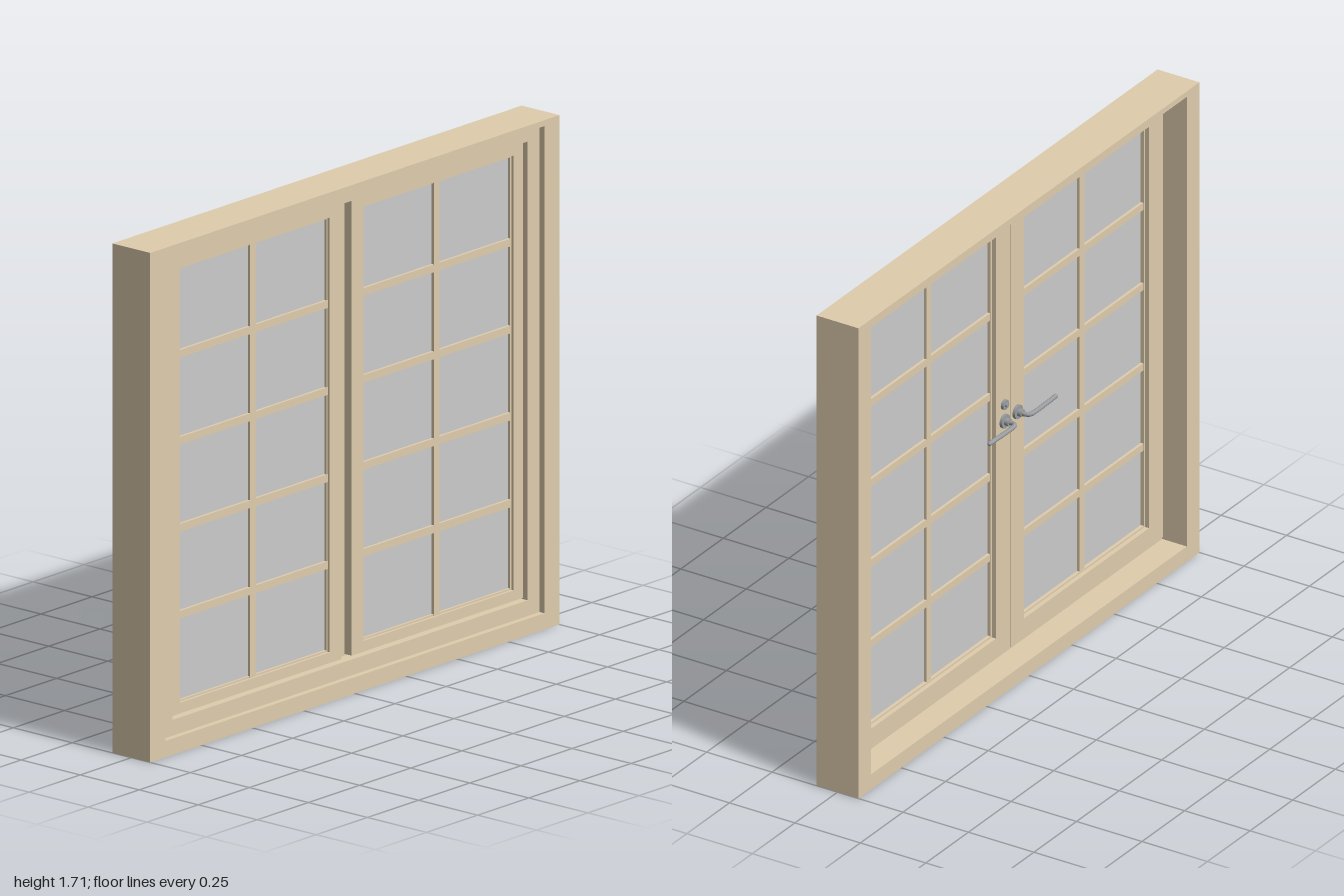
import * as THREE from 'three';

const wood = new THREE.MeshStandardMaterial({ color: 0xe0cdae });
const grey = new THREE.MeshStandardMaterial({ color: 0xcccccc });
const metal = new THREE.MeshStandardMaterial({ color: 0x9a9da0 });

function add(parent, name, geometry, material, x = 0, y = 0, z = 0) {
  const mesh = new THREE.Mesh(geometry, material);
  mesh.name = name;
  mesh.position.set(x, y, z);
  parent.add(mesh);
  return mesh;
}

// Rectangular ring; rectangles are [x0, x1, y0, y1]
function ring(outer, inner, z0, z1) {
  const corners = ([x0, x1, y0, y1]) => [[x0, y0], [x1, y0], [x1, y1], [x0, y1]].map(p => new THREE.Vector2(...p));
  const shape = new THREE.Shape(corners(outer));
  shape.holes.push(new THREE.Path(corners(inner).reverse()));
  return new THREE.ExtrudeGeometry(shape, { depth: z1 - z0, bevelEnabled: false }).translate(0, 0, z0);
}

// Round plate lying on the back face of a sash
const disc = (r, h) => new THREE.CylinderGeometry(r, r, h, 24).rotateX(Math.PI / 2);

const FACE = -0.008; // back face of the sashes
const PANE = [0.083, 0.815, 0.15, 1.605];

// Lever handle, s is the side it points to
function handle(s) {
  const g = new THREE.Group();
  g.name = 'handle';
  g.position.set(s * 0.038, 0.92, FACE);
  add(g, 'rosette', disc(0.024, 0.01), metal, 0, 0, -0.005);
  add(g, 'collar', disc(0.013, 0.016), metal, 0, 0, -0.016);
  const path = new THREE.CatmullRomCurve3([
    [0, 0, -0.01], [0, 0, -0.036], [0.008, 0, -0.047], [0.025, 0, -0.05], [0.09, 0, -0.05], [0.155, 0, -0.048],
  ].map(([x, y, z]) => new THREE.Vector3(s * x, y, z)));
  add(g, 'lever', new THREE.TubeGeometry(path, 32, 0.008, 12), metal);
  add(g, 'leverTip', new THREE.SphereGeometry(0.008, 12, 8), metal, s * 0.155, 0, -0.048);
  return g;
}

// One casement sash on side s
function sash(s) {
  const g = new THREE.Group();
  g.name = s > 0 ? 'leftSash' : 'rightSash';
  const side = ([a, b, c, d]) => (s > 0 ? [a, b, c, d] : [-b, -a, c, d]);
  const [x0, x1, y0, y1] = PANE;
  const cx = s * (x0 + x1) / 2, cy = (y0 + y1) / 2;

  // Front profile and the wider rebated flange behind it
  add(g, 'sashFront', ring(side([0.025, 0.861, 0.114, 1.637]), side(PANE), 0.014, 0.045), wood);
  add(g, 'sashFlange', ring(side([0.001, 0.896, 0.082, 1.667]), side(PANE), FACE, 0.014), wood);
  // Slim glazing bead around the pane
  add(g, 'glazingBead', ring(side([x0, x1, y0, y1]), side([x0 + 0.006, x1 - 0.006, y0 + 0.006, y1 - 0.006]), 0.008, 0.036), wood);
  add(g, 'glass', new THREE.BoxGeometry(x1 - x0, y1 - y0, 0.008), grey, cx, cy, 0.024);

  // Glazing bars
  add(g, 'verticalBar', new THREE.BoxGeometry(0.028, y1 - y0, 0.028), wood, cx, cy, 0.024);
  for (let i = 1; i < 5; i++) {
    add(g, 'horizontalBar', new THREE.BoxGeometry(x1 - x0, 0.026, 0.0276), wood, cx, y0 + (y1 - y0) * i / 5, 0.024);
  }
  g.add(handle(s));
  return g;
}

export function createModel() {
  const model = new THREE.Group();
  model.name = 'casementWindow';

  // Fixed frame: deep outer casing and inner stop
  const opening = [-0.926, 0.926, 0.055, 1.685];
  add(model, 'outerFrame', ring([-1, 1, 0, 1.705], opening, -0.08, 0.08), wood);
  add(model, 'innerStop', ring(opening, [-0.867, 0.867, 0.108, 1.643], 0.014, 0.06), wood);

  for (const s of [1, -1]) model.add(sash(s));

  // Small key rose above one handle
  add(model, 'keyRose', disc(0.017, 0.01), metal, 0.038, 0.98, FACE - 0.005);
  add(model, 'keyBarrel', disc(0.007, 0.008), metal, 0.038, 0.98, FACE - 0.013);
  return model;
}
